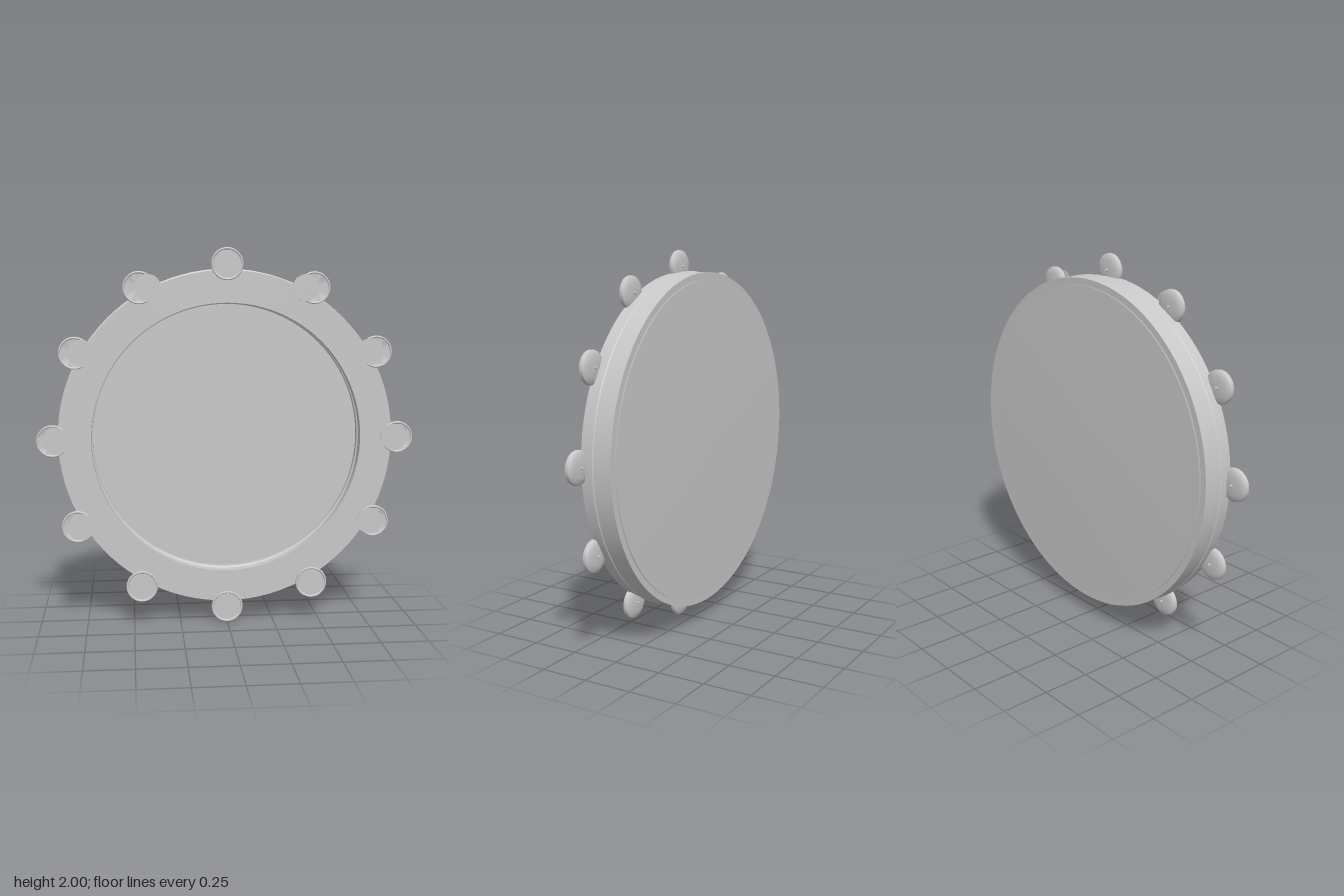
import * as THREE from 'three';
import { toCreasedNormals } from 'three/addons/utils/BufferGeometryUtils.js';

// Turn a (radius, z) profile about the z axis.
function turned(profile, segments) {
  const points = profile.map(([r, z]) => new THREE.Vector2(r, z));
  return new THREE.LatheGeometry(points, segments).rotateX(Math.PI / 2);
}

export function createModel() {
  const grey = new THREE.MeshStandardMaterial({ color: 0xc8c8c8 });
  grey.name = 'pale grey';

  const model = new THREE.Group();
  model.name = 'tambourine';
  const drum = new THREE.Group();
  drum.name = 'drum';
  drum.position.y = 1;
  model.add(drum);

  const add = (parent, name, geometry, x = 0, y = 0, z = 0) => {
    const mesh = new THREE.Mesh(geometry, grey);
    mesh.name = name;
    mesh.position.set(x, y, z);
    parent.add(mesh);
    return mesh;
  };

  // Hoop: back shoulder, outer wall with bead, front face, stepped recess and floor
  add(drum, 'hoop', toCreasedNormals(turned([
    [0.84, -0.084], [0.887, -0.084], [0.887, 0.014], [0.891, 0.019],
    [0.891, 0.03], [0.883, 0.034], [0.883, 0.088], [0.715, 0.088],
    [0.715, 0.035], [0.708, 0.03], [0.708, 0], [0, 0],
  ], 96), 0.6));

  // Back skin, softly shaded round to its edge
  add(drum, 'skin', turned([[0, -0.097], [0.853, -0.096], [0.853, -0.08]], 96));

  // Jingles: rimmed cups, each with a pin behind and a loose thin disc in front
  const cup = toCreasedNormals(turned([
    [0, 0.062], [0.05, 0.064], [0.075, 0.069], [0.083, 0.076], [0.085, 0.086],
    [0.083, 0.095], [0.079, 0.097], [0.075, 0.095], [0.073, 0.091], [0, 0.091],
  ], 36), 0.6);
  const pin = new THREE.CylinderGeometry(0.007, 0.007, 0.014, 10).rotateX(Math.PI / 2);
  const disc = toCreasedNormals(
    new THREE.CylinderGeometry(0.07, 0.07, 0.004, 36).rotateX(Math.PI / 2), 0.6);
  const slip = [0, 0.045, 0.035, 0.02, 0.02, 0, 0]; // sideways slip, top to bottom

  for (let i = 0; i < 12; i++) {
    const angle = i * Math.PI / 6;
    const jingle = new THREE.Group();
    jingle.name = 'jingle' + (i + 1);
    jingle.position.set(0.915 * Math.sin(angle), 0.915 * Math.cos(angle), 0);
    drum.add(jingle);
    add(jingle, 'cup', cup);
    add(jingle, 'pin', pin, 0, 0, 0.058);
    const offset = -Math.sign(Math.sin(angle)) * slip[Math.min(i, 12 - i)];
    add(jingle, 'disc', disc, offset, 0, offset ? 0.0955 : 0.091);
  }
  return model;
}
